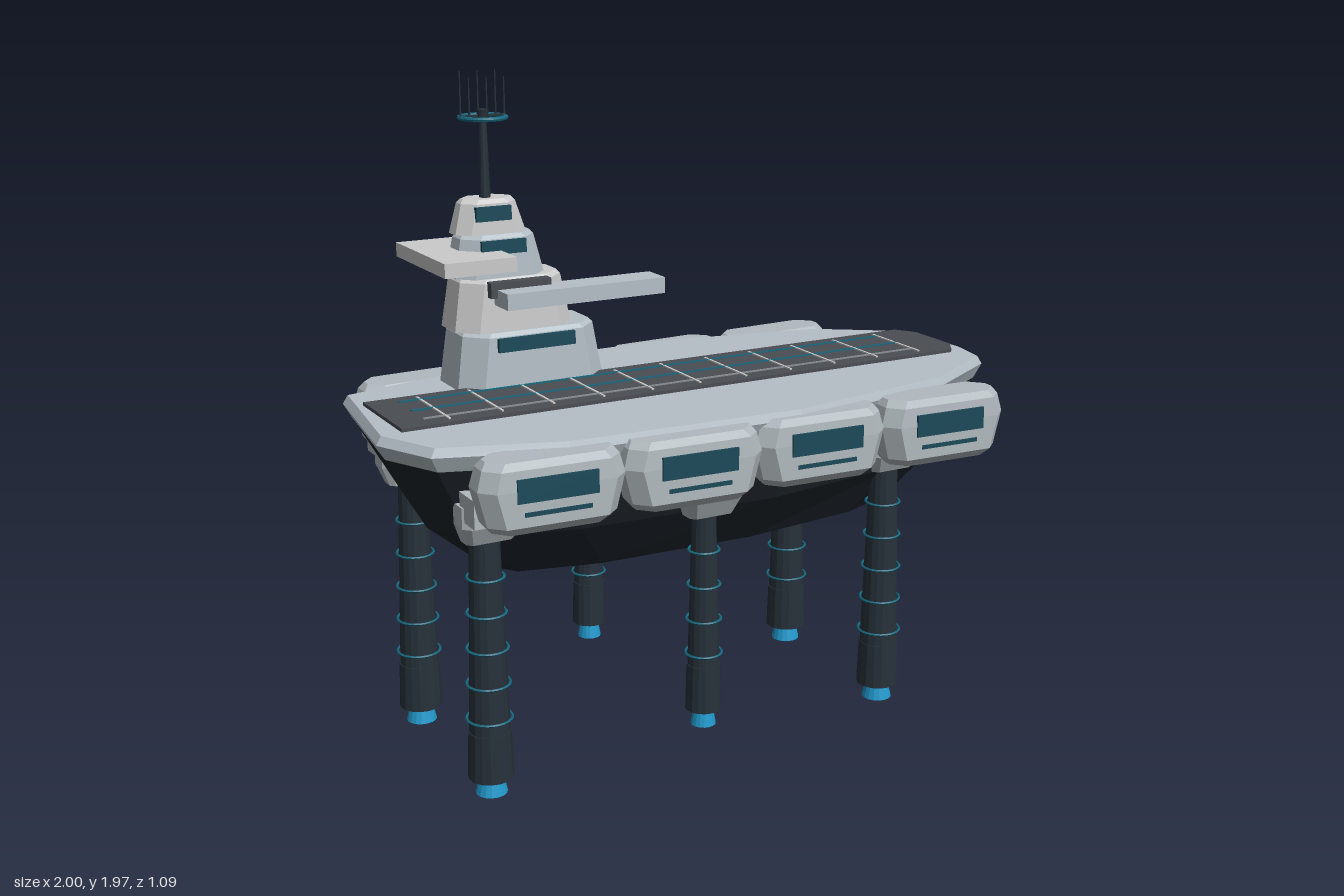
import * as THREE from 'three';

const mat = (color) => new THREE.MeshStandardMaterial({ color, flatShading: true });
const M = {
  deck: mat(0xb4bfc6), pale: mat(0xcccccc), pod: mat(0xb2babf), hull: mat(0x1e252c),
  runway: mat(0x4a4d53), leg: mat(0x27313a), cyan: mat(0x2299cc), glass: mat(0x1c4a5a),
  ring: mat(0x17687f), white: mat(0xeeeeee), line: mat(0x8a9095),
};

// Closed solid through a stack of rings, bottom to top; points run clockwise seen from above
function loft(rings) {
  const pos = [];
  const tri = (...pts) => pts.forEach((p) => pos.push(...p));
  const n = rings[0].length;
  const mid = (r) => [0, 1, 2].map((k) => r.reduce((s, p) => s + p[k], 0) / n);
  const top = rings[rings.length - 1], cTop = mid(top), cBot = mid(rings[0]);
  for (let i = 0; i < n; i++) {
    const j = (i + 1) % n;
    for (let k = 0; k < rings.length - 1; k++) {
      const a = rings[k], b = rings[k + 1];
      tri(a[j], a[i], b[i]);
      tri(a[j], b[i], b[j]);
    }
    tri(cTop, top[j], top[i]);
    tri(cBot, rings[0][i], rings[0][j]);
  }
  const g = new THREE.BufferGeometry();
  g.setAttribute('position', new THREE.Float32BufferAttribute(pos, 3));
  g.computeVertexNormals();
  return g;
}

// Rectangle with cut corners, spanning x0..x1 and z0..z1 at height y
const chamfer = (x0, x1, z0, z1, c, y) => [
  [x0 + c, y, z0], [x1 - c, y, z0], [x1, y, z0 + c], [x1, y, z1 - c],
  [x1 - c, y, z1], [x0 + c, y, z1], [x0, y, z1 - c], [x0, y, z0 + c],
];

function add(parent, name, geo, material, x = 0, y = 0, z = 0) {
  const m = new THREE.Mesh(geo, material);
  m.name = name;
  m.position.set(x, y, z);
  parent.add(m);
  return m;
}
const box = (parent, name, material, w, h, d, x, y, z) =>
  add(parent, name, new THREE.BoxGeometry(w, h, d), material, x, y, z);

const outline = [
  [-0.94, -0.29], [-0.36, -0.43], [0.2, -0.44], [0.72, -0.335], [0.96, -0.165], [0.995, 0.1],
  [0.97, 0.235], [0.7, 0.39], [0.14, 0.485], [-0.57, 0.45], [-0.915, 0.335], [-1, 0.155],
];
const deckRing = (sx, sz, y, dx = 0) => outline.map(([x, z]) => [x * sx + dx, y, z * sz]);

function buildHull(g) {
  add(g, 'hull', loft([
    deckRing(0.69, 0.48, 0.6, 0.03), deckRing(0.86, 0.74, 0.76, 0.01), deckRing(0.975, 0.95, 0.985),
  ]), M.hull);
  add(g, 'deck', loft([
    deckRing(0.975, 0.96, 0.985), deckRing(1, 1, 1.03), deckRing(0.985, 0.98, 1.055),
  ]), M.deck);
  const strip = [[-0.925, -0.155], [0.915, -0.155], [0.955, -0.09], [0.955, 0.09], [0.915, 0.15], [-0.925, 0.15]];
  add(g, 'runway', loft([1.04, 1.065].map((y) => strip.map(([x, z]) => [x, y, z]))), M.runway);
  // Deck markings
  [[-0.1, M.ring], [0, M.ring], [0.09, M.line]].forEach(([z, m]) =>
    box(g, 'runwayLine', m, 1.65, 0.004, 0.006, -0.015, 1.067, z));
  for (let i = 0; i <= 10; i++)
    box(g, 'runwayCrossLine', M.white, 0.007, 0.004, 0.25, -0.775 + 0.158 * i, 1.067, 0);
}

// Side pods with a window band, one row on each side
function buildPods(g) {
  const levels = [[0.165, 0.05, 0.84], [0.185, 0.0725, 0.865], [0.21, 0.0725, 0.965], [0.195, 0.068, 1.02], [0.18, 0.055, 1.04]];
  const body = loft(levels.map(([w, d, y]) => chamfer(-w, w, -d, d, 0.04, y)));
  for (const s of [1, -1]) {
    [-0.635, -0.215, 0.205, 0.625].forEach((x, i) => {
      const pod = new THREE.Group();
      pod.name = 'sidePod';
      pod.position.set(x, 0, s * (0.452 + (i % 2) * 0.012));
      pod.rotation.y = s > 0 ? -0.05 : Math.PI + 0.05;
      add(pod, 'podBody', body, M.pod);
      box(pod, 'podWindow', M.glass, 0.23, 0.065, 0.014, 0, 0.965, 0.07);
      box(pod, 'podSlot', M.glass, 0.19, 0.012, 0.012, 0, 0.9, 0.07);
      g.add(pod);
      const end = i === 0;
      box(g, 'podConnector', M.pod, 0.26, 0.08, 0.1, end ? -0.7 : x + 0.06, 0.88, s * (end ? 0.36 : 0.39));
    });
  }
}

// Legs: tapered column, foot sleeve, thin hoops, glowing nozzle and a mount under the hull
function buildLeg(g, x, z, base, r) {
  const leg = new THREE.Group();
  leg.name = 'leg';
  leg.position.set(x, 0, z);
  const y0 = base + 0.05, yTop = 0.82;
  const taper = (y) => r * (1 - 0.36 * (y - y0) / (yTop - y0));
  add(leg, 'legColumn', new THREE.CylinderGeometry(taper(yTop), r * 0.97, yTop - y0, 16), M.leg, 0, (y0 + yTop) / 2, 0);
  add(leg, 'legSleeve', new THREE.CylinderGeometry(r * 0.95, r * 1.02, 0.14, 16), M.leg, 0, y0 + 0.07, 0);
  add(leg, 'legNozzle', new THREE.CylinderGeometry(r * 0.52, r * 0.72, 0.055, 16), M.cyan, 0, base + 0.0275, 0);
  for (let y = 0.65; y > y0 + 0.15; y -= 0.105) {
    const hoop = add(leg, 'legHoop', new THREE.TorusGeometry(taper(y) + 0.006, 0.004, 5, 24), M.ring, 0, y, 0);
    hoop.rotation.x = Math.PI / 2;
  }
  const out = Math.sign(z) * 0.035;
  add(leg, 'legMount', loft([
    chamfer(-0.07, 0.07, -0.035 + out * 0.6, 0.035 + out * 0.6, 0.015, 0.765),
    chamfer(-0.09, 0.09, -0.05 + out, 0.05 + out, 0.02, 0.82),
    chamfer(-0.09, 0.09, -0.05 + out, 0.05 + out, 0.02, 0.88),
  ]), M.pod);
  g.add(leg);
}

function buildTower(g) {
  const tower = new THREE.Group();
  tower.name = 'tower';
  g.add(tower);
  // Tiers: x0, x1, z0, z1, bottom, top, corner cut
  [
    [-0.63, -0.16, -0.37, -0.11, 1.05, 1.225, 0.06, M.deck],
    [-0.625, -0.255, -0.35, -0.135, 1.225, 1.38, 0.055, M.pale],
    [-0.615, -0.335, -0.32, -0.155, 1.38, 1.505, 0.045, M.deck],
    [-0.605, -0.385, -0.298, -0.178, 1.505, 1.605, 0.035, M.pale],
  ].forEach(([x0, x1, z0, z1, y0, y1, c, m]) => add(tower, 'towerTier', loft([
    chamfer(x0, x1, z0, z1, c, y0),
    chamfer(x0 + 0.022, x1 - 0.028, z0 + 0.007, z1 - 0.007, c, y1 - 0.012),
    chamfer(x0 + 0.032, x1 - 0.038, z0 + 0.016, z1 - 0.016, c, y1),
  ]), m));
  box(tower, 'towerWindow', M.glass, 0.245, 0.04, 0.02, -0.402, 1.19, -0.113);
  box(tower, 'towerWindow', M.glass, 0.14, 0.04, 0.02, -0.48, 1.47, -0.16);
  box(tower, 'towerWindow', M.glass, 0.11, 0.042, 0.02, -0.5, 1.565, -0.182);
  box(tower, 'visor', M.runway, 0.19, 0.045, 0.04, -0.445, 1.352, -0.135);
  box(tower, 'upperPlatform', M.pale, 0.22, 0.042, 0.38, -0.6, 1.44, -0.23);
  box(tower, 'lowerPlatform', M.deck, 0.51, 0.048, 0.1, -0.265, 1.33, -0.095);

  // Mast with ring and whip aerials
  const mast = new THREE.Group();
  mast.name = 'mast';
  mast.position.set(-0.5, 0, -0.237);
  add(mast, 'mastPole', new THREE.CylinderGeometry(0.01, 0.017, 0.26, 12), M.leg, 0, 1.73, 0);
  add(mast, 'mastHead', new THREE.CylinderGeometry(0.018, 0.014, 0.035, 12), M.leg, 0, 1.84, 0);
  const hoop = add(mast, 'mastRing', new THREE.TorusGeometry(0.067, 0.007, 8, 32), M.ring, 0, 1.835, 0);
  hoop.rotation.x = Math.PI / 2;
  box(mast, 'aerialBar', M.leg, 0.134, 0.006, 0.006, 0, 1.84, 0);
  for (let i = 0; i < 6; i++) {
    const h = i % 2 ? 0.11 : 0.13;
    add(mast, 'aerial', new THREE.CylinderGeometry(0.002, 0.003, h, 6), M.leg, -0.068 + i * 0.0272, 1.838 + h / 2, 0);
  }
  tower.add(mast);
}

export function createModel() {
  const g = new THREE.Group();
  g.name = 'hoverCarrier';
  buildHull(g);
  buildPods(g);
  for (const s of [1, -1]) {
    buildLeg(g, -0.745, s * 0.27, 0, 0.064);
    buildLeg(g, 0.58, s * 0.27, 0, 0.064);
    buildLeg(g, -0.115, s * 0.375, 0.11, 0.052);
  }
  buildTower(g);
  return g;
}
